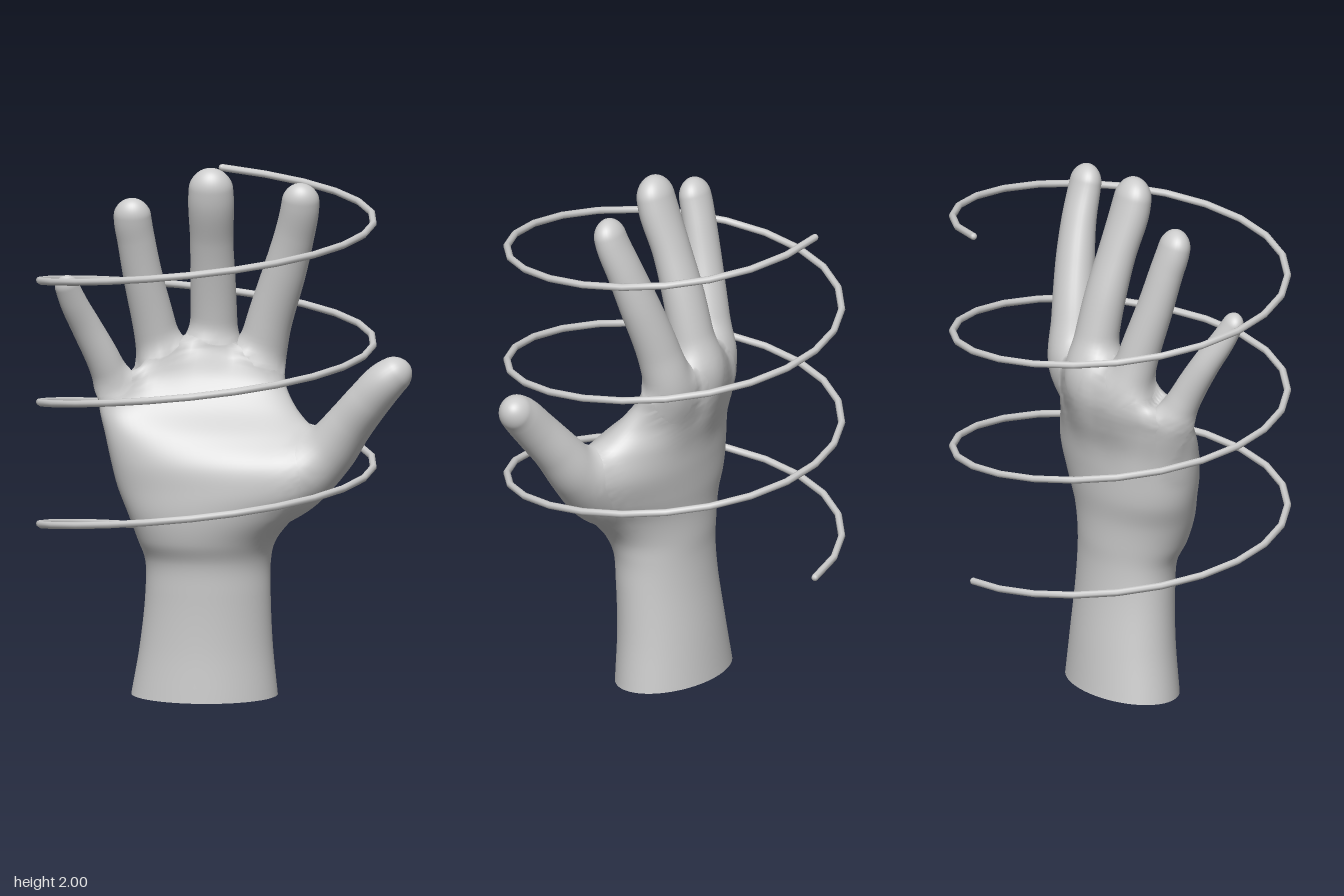
import * as THREE from 'three';

const material = new THREE.MeshStandardMaterial({ color: 0xcccccc, side: THREE.DoubleSide });
const PALM_SIDES = 72, FINGER_SIDES = 30, FILLET = 0.075;

// Skin over closed rings of points, ordered from the bottom up
function skin(rings) {
  const pos = [], index = [], n = rings[0].length;
  rings.forEach(ring => ring.forEach(p => pos.push(p.x, p.y, p.z)));
  for (let i = 0; i < rings.length - 1; i++) {
    for (let j = 0; j < n; j++) {
      const a = i * n + j, b = i * n + (j + 1) % n;
      index.push(a, a + n, b, b, a + n, b + n);
    }
  }
  const geo = new THREE.BufferGeometry();
  geo.setAttribute('position', new THREE.Float32BufferAttribute(pos, 3));
  geo.setIndex(index);
  geo.computeVertexNormals();
  return geo;
}

function addMesh(group, name, geometry) {
  const mesh = new THREE.Mesh(geometry, material);
  mesh.name = name;
  group.add(mesh);
}

// Forearm, wrist and palm sections:
// y, xMin, xMax, middle z, half thickness, arch, tilt, drop at the sides
const sections = [
  [0.0125, -0.355, 0.193, 0.007, 0.191, 0, 0, 0],
  [0.2, -0.322, 0.175, 0.013, 0.178, 0, 0, 0],
  [0.4, -0.30, 0.168, 0.028, 0.168, 0, 0, 0],
  [0.52, -0.30, 0.17, 0.038, 0.169, 0, 0, 0],
  [0.6, -0.325, 0.19, 0.054, 0.186, 0.01, 0, 0],
  [0.7, -0.36, 0.265, 0.066, 0.199, 0.03, 0.015, 0],
  [0.8, -0.40, 0.36, 0.065, 0.207, 0.04, 0.03, 0],
  [0.9, -0.425, 0.4, 0.055, 0.205, 0.045, 0.02, 0],
  [1.0, -0.445, 0.345, 0.018, 0.178, 0.06, -0.01, 0],
  [1.1, -0.462, 0.265, -0.04, 0.143, 0.09, -0.035, 0.01],
  [1.2, -0.46, 0.222, -0.077, 0.12, 0.09, -0.045, 0.04],
  [1.29, -0.42, 0.205, -0.087, 0.096, 0.08, -0.045, 0.09],
  [1.335, -0.38, 0.175, -0.083, 0.06, 0.07, -0.04, 0.12],
  [1.348, -0.35, 0.15, -0.08, 0, 0.06, -0.04, 0.12],
];

function palmGeometry() {
  const columns = [];
  for (let j = 0; j < PALM_SIDES; j++) {
    const a = j / PALM_SIDES * Math.PI * 2, u = Math.cos(a), v = Math.sin(a);
    const points = sections.map(([y, x0, x1, z, t, arch, tilt, drop], i) => new THREE.Vector3(
      (x0 + x1) / 2 + (x1 - x0) / 2 * u,
      y - drop * u * u * (u < 0 ? 1.4 : 1) - (i === 0 ? 0.0125 * v : 0),
      z + arch * u * u + tilt * u + t * v));
    columns.push(new THREE.CatmullRomCurve3(points).getPoints(91));
  }
  return skin(columns[0].map((_, i) => columns.map(c => c[i])));
}

// A finger follows points [x, y, z, radius] and ends in a round, flattened tip
function fingerGeometry(path, depth) {
  const curve = new THREE.CatmullRomCurve3(path.map(p => new THREE.Vector3(p[0], p[1], p[2])));
  const radii = new THREE.SplineCurve(path.map((p, i) => new THREE.Vector2(i, p[3])));
  const tip = curve.getPoint(1), tipRadius = path[path.length - 1][3];
  const forward = new THREE.Vector3(0, 0, 1), rings = [], steps = 80;
  for (let i = 0; i <= steps; i++) {
    const t = 1 - (1 - i / steps) ** 1.7;
    const c = curve.getPoint(t), along = curve.getTangent(t);
    const side = along.clone().cross(forward).normalize();
    const front = side.clone().cross(along).normalize();
    const k = Math.max(0, 1 - c.distanceTo(tip) / tipRadius);
    const r = i === steps ? 0 : radii.getPoint(t).y * Math.sqrt(1 - k * k);
    rings.push(Array.from({ length: FINGER_SIDES }, (_, j) => {
      const a = j / FINGER_SIDES * Math.PI * 2;
      return c.clone().addScaledVector(side, r * Math.cos(a))
        .addScaledVector(front, r * (1 - (1 - depth) * t) * Math.sin(a));
    }));
  }
  return skin(rings);
}

// Fillet: swell a skin where it meets the others and share their normals there
function fillet(geometry, others) {
  const result = geometry.clone();
  const pos = geometry.attributes.position.array, nor = geometry.attributes.normal.array;
  const otherPos = others.flatMap(o => Array.from(o.attributes.position.array));
  const otherNor = others.flatMap(o => Array.from(o.attributes.normal.array));
  const meeting = [], p = new THREE.Vector3(), n = new THREE.Vector3(), q = new THREE.Vector3(), m = new THREE.Vector3();
  for (let i = 0; i < pos.length; i += 3) {
    const x = pos[i], y = pos[i + 1], z = pos[i + 2];
    let best = Infinity, at = 0;
    for (let j = 0; j < otherPos.length; j += 3) {
      const dx = otherPos[j] - x, dy = otherPos[j + 1] - y, dz = otherPos[j + 2] - z;
      const d = dx * dx + dy * dy + dz * dz;
      if (d < best) { best = d; at = j; }
    }
    p.fromArray(pos, i); n.fromArray(nor, i);
    q.fromArray(otherPos, at).sub(p); m.fromArray(otherNor, at);
    const gap = Math.max(Math.abs(q.dot(m)), Math.sqrt(best) - 0.02);
    const w = Math.max(0, 1 - gap / FILLET) ** 2;
    if (w === 0) continue;
    p.addScaledVector(n, w * FILLET / 4 * Math.min(1, 1.5 * (1 - n.dot(m))));
    result.attributes.position.setXYZ(i / 3, p.x, p.y, p.z);
    meeting.push([i / 3, w, m.clone()]);
  }
  result.computeVertexNormals();
  const normals = result.attributes.normal;
  for (const [i, w, other] of meeting) {
    n.fromBufferAttribute(normals, i).lerp(other, w / 2).normalize();
    normals.setXYZ(i, n.x, n.y, n.z);
  }
  return result;
}

const fingerPaths = {
  indexFinger: [[0.075, 1.05, -0.055, 0.06], [0.112, 1.23, -0.098, 0.092], [0.152, 1.4, -0.075, 0.086],
    [0.215, 1.6, -0.03, 0.081], [0.255, 1.74, 0.008, 0.075], [0.28, 1.85, 0.045, 0.072], [0.288, 1.945, 0.07, 0.066]],
  middleFinger: [[-0.06, 1.05, -0.07, 0.06], [-0.06, 1.23, -0.118, 0.096], [-0.055, 1.4, -0.088, 0.088],
    [-0.055, 1.56, -0.05, 0.085], [-0.055, 1.72, 0.0, 0.081], [-0.052, 1.87, 0.055, 0.086], [-0.05, 2.0, 0.085, 0.078]],
  ringFinger: [[-0.21, 1.03, -0.03, 0.06], [-0.24, 1.2, -0.065, 0.09], [-0.27, 1.38, -0.03, 0.081],
    [-0.31, 1.58, 0.02, 0.074], [-0.332, 1.72, 0.055, 0.071], [-0.343, 1.8, 0.078, 0.071], [-0.345, 1.885, 0.1, 0.066]],
  littleFinger: [[-0.36, 0.98, 0.03, 0.05], [-0.405, 1.14, 0.04, 0.071], [-0.45, 1.27, 0.08, 0.064],
    [-0.51, 1.4, 0.125, 0.057], [-0.555, 1.5, 0.172, 0.051], [-0.59, 1.605, 0.22, 0.044]],
  thumb: [[0.11, 0.7, 0.09, 0.085], [0.26, 0.82, 0.122, 0.115], [0.395, 0.95, 0.138, 0.103],
    [0.475, 1.055, 0.17, 0.089], [0.55, 1.15, 0.207, 0.082], [0.62, 1.23, 0.23, 0.076], [0.706, 1.295, 0.232, 0.058]],
};

// Wire spiral: three turns of 24 straight pieces, rising around the hand
function spiralGroup() {
  const turns = 3, pieces = 24 * turns, points = [];
  for (let i = 0; i <= pieces; i++) {
    const a = i / 24 * Math.PI * 2;
    points.push(new THREE.Vector3(-0.075 - 0.625 * Math.sin(a), 0.528 + 1.375 * i / pieces, -0.625 * Math.cos(a)));
  }
  const spiral = new THREE.Group();
  spiral.name = 'spiral';
  addMesh(spiral, 'wire', new THREE.TubeGeometry(new THREE.CatmullRomCurve3(points), pieces, 0.0135, 8));
  for (const p of [points[0], points[pieces]]) {
    addMesh(spiral, 'wireEnd', new THREE.SphereGeometry(0.0135, 8, 6).translate(p.x, p.y, p.z));
  }
  return spiral;
}

export function createModel() {
  const model = new THREE.Group();
  model.name = 'handWithSpiral';
  const hand = new THREE.Group();
  hand.name = 'hand';
  const palm = palmGeometry();
  const names = Object.keys(fingerPaths);
  const fingers = names.map(name => fingerGeometry(fingerPaths[name], name === 'thumb' ? 0.95 : 0.76));
  addMesh(hand, 'forearmAndPalm', fillet(palm, fingers));
  fingers.forEach((finger, i) => addMesh(hand, names[i], fillet(finger, [palm])));
  model.add(hand, spiralGroup());
  return model;
}
